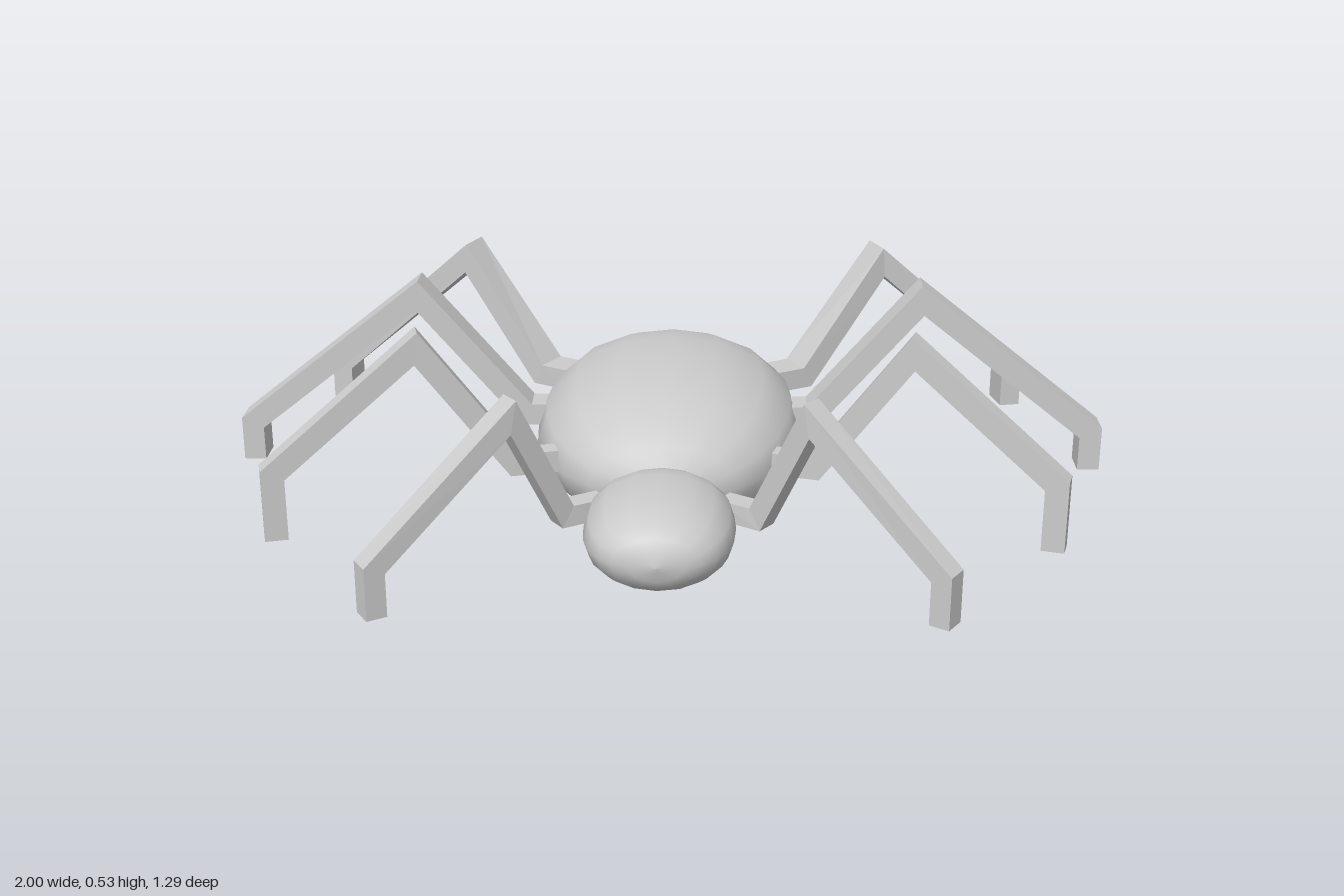
import * as THREE from 'three';

const material = new THREE.MeshStandardMaterial({ color: 0xcccccc });

// Slightly squared ellipsoid, its poles along z
function ellipsoid(name, radii, centre, power) {
  const profile = [];
  const steps = 12;
  for (let i = 0; i <= steps; i++) {
    const a = (i / steps) * Math.PI;
    const c = Math.cos(a);
    const rho = i % steps === 0 ? 0 : Math.pow(Math.sin(a), 2 / power);
    profile.push(new THREE.Vector2(rho, -Math.sign(c) * Math.pow(Math.abs(c), 2 / power)));
  }
  const geometry = new THREE.LatheGeometry(profile, 16);
  geometry.rotateX(Math.PI / 2);
  geometry.scale(...radii);
  const mesh = new THREE.Mesh(geometry, material);
  mesh.name = name;
  mesh.position.set(...centre);
  return mesh;
}

// Rectangular bar swept along joints, mitred at each bend
function jointedBar(points, width, thickness) {
  const up = new THREE.Vector3(0, 1, 0);
  const dirs = points.slice(1).map((p, i) => p.clone().sub(points[i]).normalize());
  // Horizontal heading of each segment; a vertical one keeps the previous heading
  const headings = [];
  dirs.forEach((d, i) => {
    const h = new THREE.Vector3(d.x, 0, d.z);
    headings.push(h.length() > 0.01 ? h.normalize() : headings[i - 1].clone());
  });
  const positions = [];
  points.forEach((p, i) => {
    const a = Math.max(i - 1, 0);
    const b = Math.min(i, dirs.length - 1);
    const tangent = dirs[a].clone().add(dirs[b]).normalize();
    const heading = headings[a].clone().add(headings[b]).normalize();
    const side = up.clone().cross(heading);
    const normal = tangent.clone().cross(side).normalize();
    const mitre = 1 / tangent.dot(dirs[b]);
    for (const [s, n] of [[1, 1], [-1, 1], [-1, -1], [1, -1]]) {
      const v = p.clone()
        .addScaledVector(side, s * width / 2)
        .addScaledVector(normal, n * mitre * thickness / 2);
      positions.push(v.x, v.y, v.z);
    }
  });
  const index = [];
  const quad = (a, b, c, d) => index.push(a, b, c, a, c, d);
  for (let i = 0; i < dirs.length; i++) {
    for (let k = 0; k < 4; k++) {
      const n = (k + 1) % 4;
      quad(4 * i + k, 4 * i + n, 4 * i + 4 + n, 4 * i + 4 + k);
    }
  }
  const e = 4 * dirs.length;
  quad(3, 2, 1, 0);
  quad(e, e + 1, e + 2, e + 3);
  const indexed = new THREE.BufferGeometry();
  indexed.setAttribute('position', new THREE.Float32BufferAttribute(positions, 3));
  indexed.setIndex(index);
  const geometry = indexed.toNonIndexed();
  geometry.computeVertexNormals();
  return geometry;
}

// Joints of each left leg: root, hip, knee, ankle, foot
const legs = [
  { name: 'frontLeg', width: 0.05, thickness: 0.045,
    joints: [[0.13, 0.16, 0.29], [0.21, 0.16, 0.34], [0.31, 0.415, 0.425], [0.575, 0.15, 0.595], [0.575, 0.045, 0.595]] },
  { name: 'secondLeg', width: 0.045, thickness: 0.05,
    joints: [[0.24, 0.2, 0.13], [0.33, 0.2, 0.155], [0.53, 0.485, 0.21], [0.835, 0.225, 0.295], [0.835, 0.075, 0.295]] },
  { name: 'thirdLeg', width: 0.073, thickness: 0.05,
    joints: [[0.22, 0.21, -0.143], [0.33, 0.21, -0.143], [0.575, 0.495, -0.143], [0.974, 0.18, -0.143], [0.974, 0.09, -0.143]] },
  { name: 'rearLeg', width: 0.08, thickness: 0.05,
    joints: [[0.24, 0.21, -0.375], [0.31, 0.21, -0.415], [0.5, 0.47, -0.53], [0.845, 0.165, -0.605], [0.845, 0.075, -0.605]] },
];

export function createModel() {
  const model = new THREE.Group();
  model.name = 'spider';

  model.add(ellipsoid('abdomen', [0.305, 0.176, 0.425], [0, 0.18, -0.135], 2.2));
  model.add(ellipsoid('head', [0.157, 0.094, 0.195], [0, 0.18, 0.45], 2.5));

  for (const { name, width, thickness, joints } of legs) {
    for (const side of [1, -1]) {
      const points = joints.map(([x, y, z]) => new THREE.Vector3(side * x, y, z));
      const leg = new THREE.Mesh(jointedBar(points, width, thickness), material);
      leg.name = name + (side > 0 ? 'Left' : 'Right');
      model.add(leg);
    }
  }
  return model;
}
